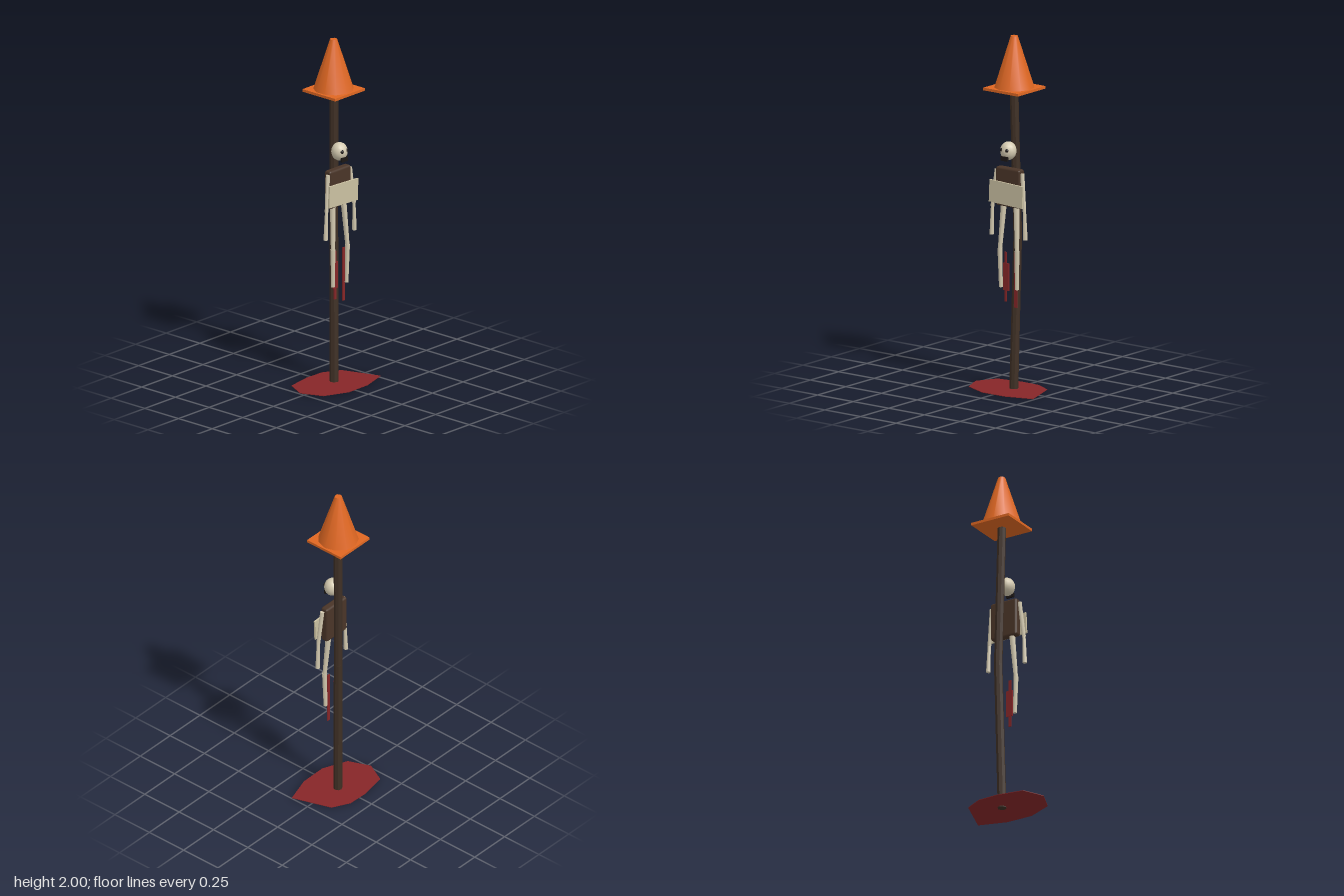
import * as THREE from 'three';
import { RoundedBoxGeometry } from 'three/addons/geometries/RoundedBoxGeometry.js';

const mat = (name, color, flatShading = false) => {
  const m = new THREE.MeshStandardMaterial({ color, flatShading });
  m.name = name;
  return m;
};

export function createModel() {
  const group = new THREE.Group();
  const orange = mat('cone orange', 0xdf6722);
  const wood = mat('pole wood', 0x3f3025, true);
  const cloth = mat('torso brown', 0x4a3528);
  const bone = mat('bone', 0xd4cab0);
  const board = mat('board cream', 0xcbc1a2);
  const red = mat('dark red', 0x862628);
  const dark = mat('socket black', 0x1c1715);

  const add = (name, geo, material, x = 0, y = 0, z = 0) => {
    const mesh = new THREE.Mesh(geo, material);
    mesh.name = name;
    mesh.position.set(x, y, z);
    group.add(mesh);
    return mesh;
  };

  // Tapered round bar from point a to point b
  const bar = (name, a, b, ra, rb, material, sides = 7) => {
    const A = new THREE.Vector3(...a), B = new THREE.Vector3(...b);
    const dir = B.clone().sub(A);
    const mid = A.clone().add(B).multiplyScalar(0.5);
    const mesh = add(name, new THREE.CylinderGeometry(rb, ra, dir.length(), sides), material, mid.x, mid.y, mid.z);
    mesh.quaternion.setFromUnitVectors(new THREE.Vector3(0, 1, 0), dir.normalize());
    return mesh;
  };

  // Pool on the ground
  const outline = [[-0.256, -0.023], [-0.197, -0.141], [-0.044, -0.168], [0.078, -0.164], [0.178, -0.111],
    [0.254, 0.111], [0.094, 0.161], [-0.062, 0.163], [-0.204, 0.102]];
  const shape = new THREE.Shape(outline.map(([x, z]) => new THREE.Vector2(x, -z)));
  const pool = new THREE.ExtrudeGeometry(shape, { depth: 0.003, bevelEnabled: false });
  add('groundPool', pool.rotateX(-Math.PI / 2), red, 0, 0.005, 0);

  // Slightly bent pole
  const polePath = [[0.017, 0, -0.018], [0.032, 0.87, -0.034], [0.017, 1.71, -0.02]];
  bar('lowerPole', polePath[0], polePath[1], 0.025, 0.024, wood, 8);
  bar('upperPole', polePath[1], polePath[2], 0.024, 0.024, wood, 8);

  // Traffic cone on top
  add('coneBase', new THREE.BoxGeometry(0.243, 0.015, 0.243), orange, 0.017, 1.703, -0.022);
  add('coneBody', new THREE.CylinderGeometry(0.02, 0.114, 0.295, 11), orange, 0.017, 1.8525, -0.022)
    .rotation.y = Math.PI / 2;

  // Skull with sockets and jaw
  add('skull', new THREE.SphereGeometry(0.046, 14, 10), bone, 0.013, 1.358, 0.025).scale.y = 1.13;
  for (const side of [-1, 1]) {
    add('eyeSocket', new THREE.SphereGeometry(0.0125, 8, 6), dark, 0.013 + side * 0.017, 1.366, 0.058);
  }
  add('jaw', new THREE.BoxGeometry(0.046, 0.026, 0.012), dark, 0.013, 1.319, 0.06);

  // Torso and hanging board
  add('torso', new RoundedBoxGeometry(0.17, 0.22, 0.047, 1, 0.012), cloth, 0.014, 1.15, 0.012);
  add('board', new THREE.BoxGeometry(0.233, 0.125, 0.01), board, 0.017, 1.118, 0.049).rotation.z = -0.04;

  // Arms and legs
  for (const side of [-1, 1]) {
    const at = (dx, y, z) => [0.016 + side * dx, y, z];
    bar('upperArm', at(0.09, 1.24, 0.018), at(0.112, 1.03, 0.028), 0.012, 0.011, bone);
    bar('forearm', at(0.112, 1.04, 0.028), at(0.118, 0.87, 0.027), 0.009, 0.013, bone);
    bar('thigh', at(0.044, 1.06, 0.012), at(0.06, 0.79, 0.028), 0.017, 0.012, bone);
    bar('shin', at(0.06, 0.8, 0.028), at(0.056, 0.58, 0.024), 0.014, 0.011, bone);
  }

  // Hanging red strips
  add('wideRag', new THREE.BoxGeometry(0.04, 0.155, 0.006), red, -0.01, 0.64, 0.015);
  add('ragStrip', new THREE.BoxGeometry(0.016, 0.28, 0.005), red, -0.013, 0.64, 0.015);
  add('longStrip', new THREE.BoxGeometry(0.018, 0.31, 0.005), red, 0.057, 0.63, 0.015);

  return group;
}
